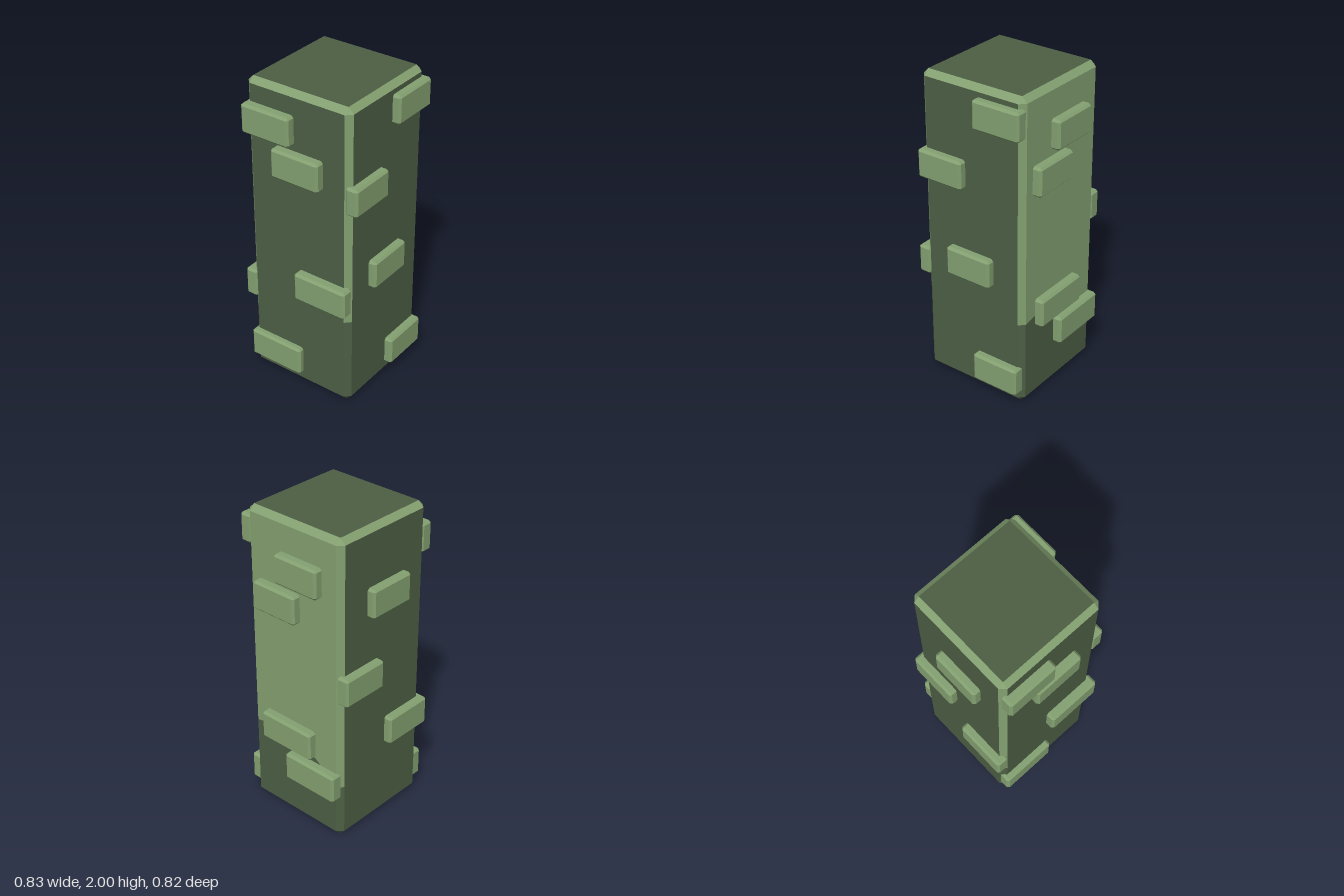
import * as THREE from 'three';
import { ConvexGeometry } from 'three/addons/geometries/ConvexGeometry.js';

const mossLight = new THREE.MeshStandardMaterial({ name: 'lightGreenStone', color: 0x84a171 });
const mossDark = new THREE.MeshStandardMaterial({ name: 'darkGreenStone', color: 0x4d5f44 });

const A = 0.36;   // half width of the pillar
const C = 0.325;  // half width inside the chamfer
const LOW = 0.035, HIGH = 1.965, TOP = 2;

// Chamfered block as the hull of its 24 corners
function chamferBlock(w, h, d, b) {
  const pts = [];
  for (const sx of [-1, 1]) for (const sy of [-1, 1]) for (const sz of [-1, 1]) {
    const x = w / 2, y = h / 2, z = d / 2;
    pts.push(new THREE.Vector3(sx * x, sy * (y - b), sz * (z - b)));
    pts.push(new THREE.Vector3(sx * (x - b), sy * y, sz * (z - b)));
    pts.push(new THREE.Vector3(sx * (x - b), sy * (y - b), sz * z));
  }
  return new ConvexGeometry(pts);
}

// Convex polygon, counter-clockwise from outside, added as a fan
function addPoly(list, pts) {
  for (let i = 1; i < pts.length - 1; i++) list.push(...pts[0], ...pts[i], ...pts[i + 1]);
}

function buildPillar() {
  const light = [], dark = [];

  // Vertical strip from p to q: dark below the split heights, light above
  const strip = ([px, pz], [qx, qz], ps, qs) => {
    addPoly(dark, [[px, LOW, pz], [qx, LOW, qz], [qx, qs, qz], [px, ps, pz]]);
    if (ps < HIGH) addPoly(light, [[px, ps, pz], [qx, qs, qz], [qx, HIGH, qz], [px, HIGH, pz]]);
  };

  // Octagonal outline: even edges are faces, odd edges are corner chamfers
  const ring = [[-C, A], [C, A], [A, C], [A, -C], [C, -A], [-C, -A], [-A, -C], [-A, C]];
  const chamferSplit = { 1: 0.56, 3: 0.37, 5: 0.43, 7: 0.6 };
  const inner = ([x, z], y) => [Math.sign(x) * C, y, Math.sign(z) * C];

  ring.forEach((p, i) => {
    const q = ring[(i + 1) % 8];
    if (i === 2) {
      // Left side: uneven line between the two colours
      const line = [[C, 0.56], [0.24, 0.575], [-0.16, 0.5], [-C, 0.37]];
      for (let k = 0; k < 3; k++) {
        strip([A, line[k][0]], [A, line[k + 1][0]], line[k][1], line[k + 1][1]);
      }
    } else {
      const s = chamferSplit[i] ?? HIGH;
      strip(p, q, s, s);
    }
    // Sloped rims at the top and bottom
    const up = [[p[0], HIGH, p[1]], [q[0], HIGH, q[1]], inner(q, TOP)];
    const down = [[q[0], LOW, q[1]], [p[0], LOW, p[1]], inner(p, 0)];
    if (i % 2 === 0) {
      up.push(inner(p, TOP));
      down.push(inner(q, 0));
    }
    addPoly(light, up);
    addPoly(dark, down);
  });

  // Flat caps
  addPoly(dark, [[-C, TOP, C], [C, TOP, C], [C, TOP, -C], [-C, TOP, -C]]);
  addPoly(dark, [[-C, 0, -C], [C, 0, -C], [C, 0, C], [-C, 0, C]]);

  const geo = new THREE.BufferGeometry();
  geo.setAttribute('position', new THREE.Float32BufferAttribute([...light, ...dark], 3));
  geo.addGroup(0, light.length / 3, 0);
  geo.addGroup(light.length / 3, dark.length / 3, 1);
  geo.computeVertexNormals();
  const mesh = new THREE.Mesh(geo, [mossLight, mossDark]);
  mesh.name = 'pillar';
  return mesh;
}

// Raised bricks on each side: [from, to, bottom, top, reach]
const bricks = {
  front: [
    [0.04, 0.36, 1.755, 1.935, 0.41],
    [-0.36, -0.045, 1.345, 1.525, 0.41],
    [-0.165, 0.15, 0.76, 0.945, 0.41],
    [0.025, 0.345, 0.075, 0.26, 0.41],
  ],
  back: [
    [-0.18, 0.14, 1.45, 1.635, 0.41],
    [0.04, 0.36, 0.965, 1.15, 0.41],
    [-0.37, -0.03, 0.51, 0.7, 0.41],
  ],
  left: [
    [-0.22, 0.1, 1.61, 1.795, 0.415],
    [-0.05, 0.27, 1.385, 1.57, 0.415],
    [-0.16, 0.235, 0.505, 0.69, 0.415],
    [-0.345, 0.045, 0.285, 0.47, 0.415],
  ],
  right: [
    [-0.355, -0.02, 1.67, 1.855, 0.418],
    [-0.15, 0.18, 1.45, 1.635, 0.418],
    [0, 0.365, 0.665, 0.85, 0.418],
    [-0.355, 0.02, 0.08, 0.27, 0.4],
  ],
};

export function createModel() {
  const model = new THREE.Group();
  model.name = 'stonePillar';
  model.add(buildPillar());

  const thick = 0.085;
  for (const [side, list] of Object.entries(bricks)) {
    const group = new THREE.Group();
    group.name = `${side}Bricks`;
    const alongX = side === 'front' || side === 'back';
    const sign = side === 'front' || side === 'left' ? 1 : -1;
    for (const [from, to, y0, y1, reach] of list) {
      const len = to - from, mid = (from + to) / 2, out = sign * (reach - thick / 2);
      const geo = chamferBlock(alongX ? len : thick, y1 - y0, alongX ? thick : len, 0.014);
      const brick = new THREE.Mesh(geo, mossLight);
      brick.name = 'brick';
      brick.position.set(alongX ? mid : out, (y0 + y1) / 2, alongX ? out : mid);
      group.add(brick);
    }
    model.add(group);
  }
  return model;
}
